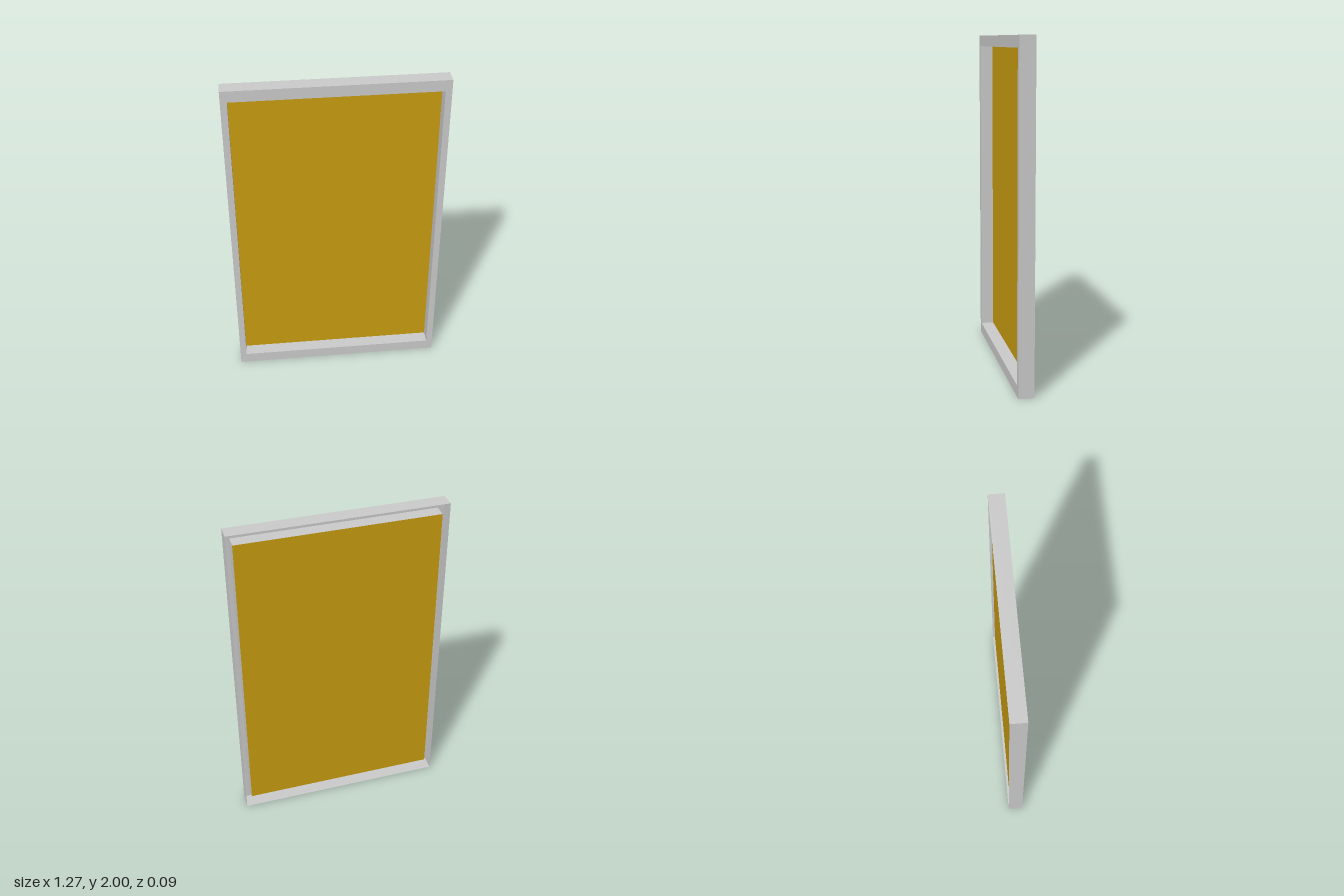
import * as THREE from 'three';

const W = 1.27, H = 2, FRONT = 0.046, BACK = -0.046; // outer frame
const IW = 1.194, IH = 1.866, PANEL_Z = -0.033;      // opening and recessed panel

const grey = new THREE.MeshStandardMaterial({ color: 0xcccccc, side: THREE.DoubleSide });
const ochre = new THREE.MeshStandardMaterial({ color: 0xc99d10, side: THREE.DoubleSide });

function sheet(name, w, h, material, parent) {
  const mesh = new THREE.Mesh(new THREE.PlaneGeometry(w, h), material);
  mesh.name = name;
  parent.add(mesh);
  return mesh;
}

// Four thin walls around a w x h rectangle, running from z0 to z1, facing outward or inward
function wallLoop(name, w, h, z0, z1, facing) {
  const loop = new THREE.Group();
  loop.name = name;
  const depth = z1 - z0, z = (z0 + z1) / 2;
  for (const s of [-1, 1]) {
    const side = sheet(s > 0 ? 'leftWall' : 'rightWall', depth, h, grey, loop);
    side.position.set(s * w / 2, 0, z);
    side.rotation.y = s * facing * Math.PI / 2;
    const cap = sheet(s > 0 ? 'topWall' : 'bottomWall', w, depth, grey, loop);
    cap.position.set(0, s * h / 2, z);
    cap.rotation.x = -s * facing * Math.PI / 2;
  }
  return loop;
}

function rectPoints(w, h) {
  return [[-1, -1], [1, -1], [1, 1], [-1, 1]].map(([x, y]) => new THREE.Vector2(x * w / 2, y * h / 2));
}

export function createModel() {
  const model = new THREE.Group();
  model.name = 'framedPanel';

  // Flat front border with its opening
  const border = new THREE.Shape(rectPoints(W, H));
  border.holes.push(new THREE.Path(rectPoints(IW, IH).reverse()));
  const face = new THREE.Mesh(new THREE.ShapeGeometry(border), grey);
  face.name = 'frameFront';
  face.position.z = FRONT;
  model.add(face);

  // Outer rim and inner reveal; the hollow between them is open at the back
  model.add(wallLoop('outerRim', W, H, BACK, FRONT, 1));
  model.add(wallLoop('innerReveal', IW, IH, PANEL_Z, FRONT, -1));

  // Recessed panel closing the reveal
  sheet('panel', IW, IH, ochre, model).position.z = PANEL_Z;

  for (const part of model.children) part.position.y = H / 2;
  return model;
}
